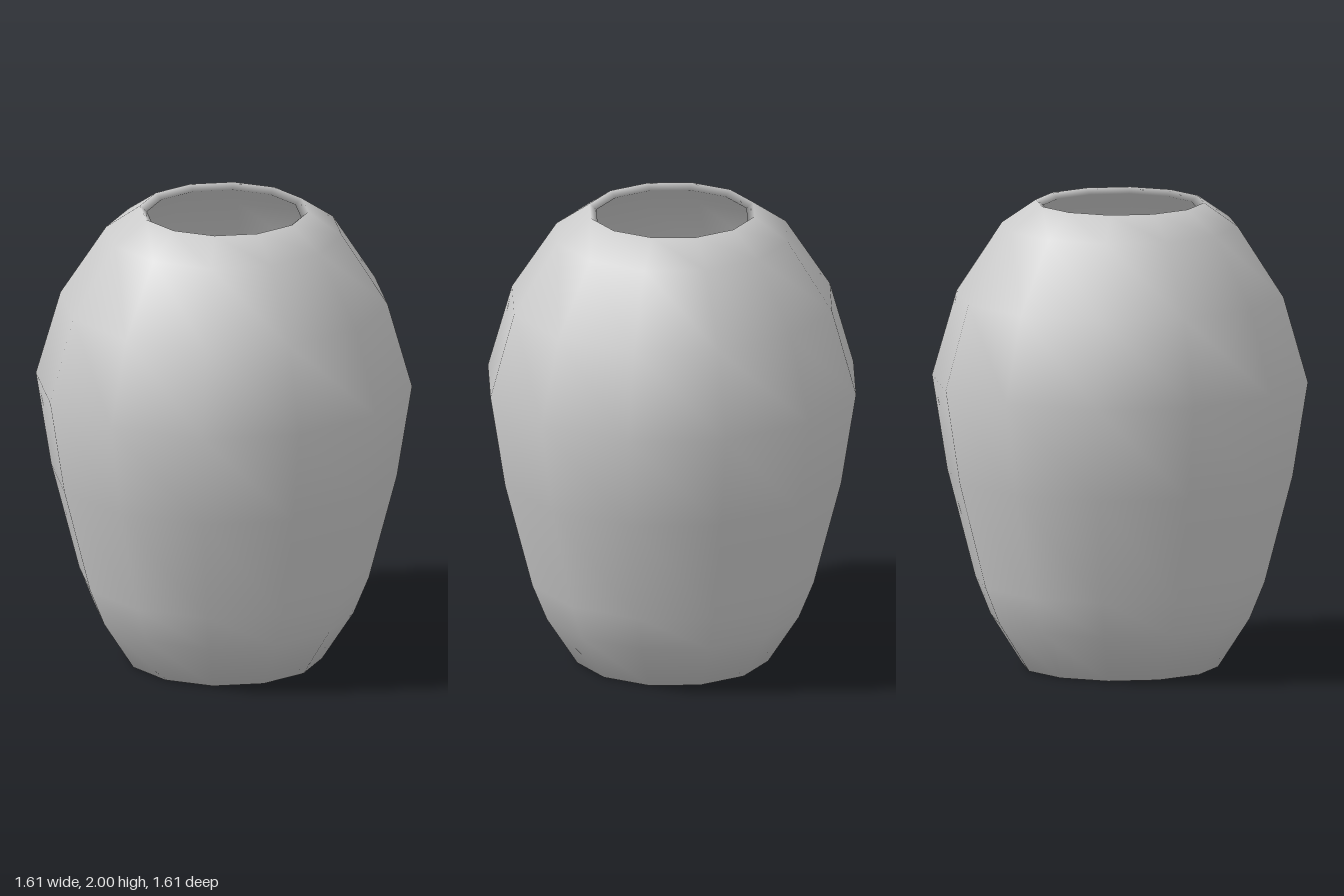
import * as THREE from 'three';

export function createModel() {
  const group = new THREE.Group();
  group.name = 'vase';

  // Outer wall from the foot to the rim, as [radius, height]
  const outer = [
    [0.42, 0], [0.555, 0.21], [0.62, 0.37], [0.74, 0.83],
    [0.805, 1.235], [0.70, 1.6], [0.505, 1.9], [0.36, 2],
  ];
  // Inner wall from the lip down to the floor, a thin shell inside the outer wall
  const inner = [
    [0.33, 1.975], [0.48, 1.87], [0.665, 1.585], [0.765, 1.235],
    [0.70, 0.84], [0.58, 0.385], [0.52, 0.23], [0.395, 0.04],
  ];
  const profile = [[0, 0], ...outer, ...inner, [0, 0.04]]
    .map(([r, y]) => new THREE.Vector2(r, y));

  // Twelve-sided hollow body with smooth shading
  const body = new THREE.Mesh(
    new THREE.LatheGeometry(profile, 12),
    new THREE.MeshStandardMaterial({ color: 0xcccccc }),
  );
  body.name = 'vaseBody';
  group.add(body);
  return group;
}
